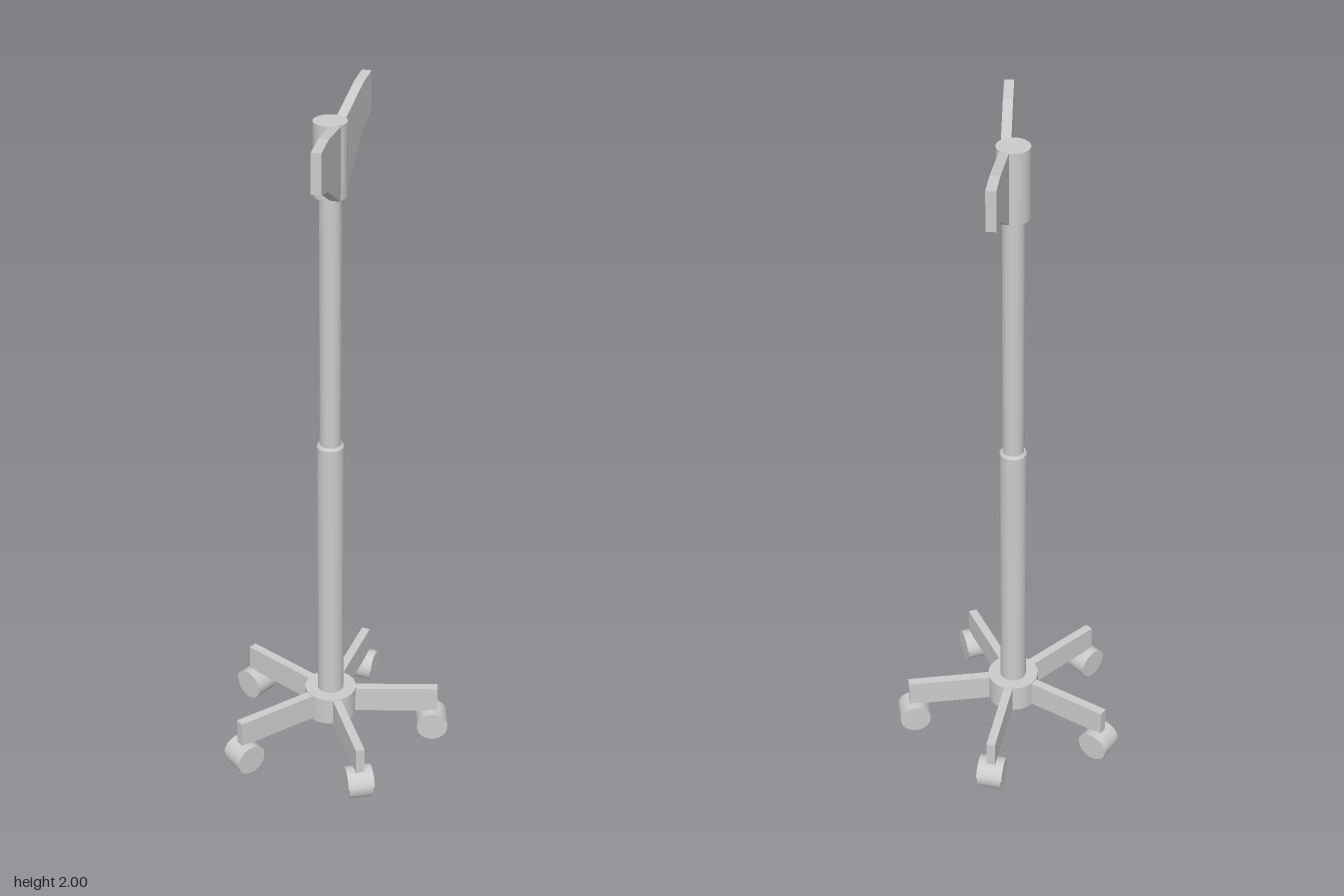
import * as THREE from 'three';

const CZ = 0.02; // depth of the column axis

export function createModel() {
  const model = new THREE.Group();
  const mat = new THREE.MeshStandardMaterial({ color: 0xcccccc });
  const thin = new THREE.MeshStandardMaterial({ color: 0xcccccc, side: THREE.DoubleSide });

  const add = (parent, name, geometry, x, y, z, material = mat) => {
    const mesh = new THREE.Mesh(geometry, material);
    mesh.name = name;
    mesh.position.set(x, y, z);
    parent.add(mesh);
    return mesh;
  };
  // Upright cylinder between two heights
  const post = (name, r, y0, y1, rTop = r) =>
    add(model, name, new THREE.CylinderGeometry(rTop, r, y1 - y0, 24), 0, (y0 + y1) / 2, CZ);

  // Hub and telescopic column
  post('hub', 0.076, 0.086, 0.173);
  post('lowerColumn', 0.039, 0.17, 1.005);
  post('columnCollar', 0.039, 1.005, 1.012, 0.034);
  post('upperColumn', 0.031, 1.01, 1.77);
  post('headSocket', 0.046, 1.76, 1.966);

  // Five spokes, each with a caster under its tip; local +x runs outward
  const legs = [[91, 91], [20.4, 21.5], [-53.5, -58], [-125.2, -122.5], [160, 158.8]];
  for (const [legAngle, casterAngle] of legs) {
    const a = THREE.MathUtils.degToRad(legAngle);
    const leg = new THREE.Group();
    leg.name = 'baseLeg';
    leg.position.z = CZ;
    leg.rotation.y = a;
    model.add(leg);
    add(leg, 'spoke', new THREE.BoxGeometry(0.322, 0.08, 0.026), 0.161, 0.13, 0);

    const caster = new THREE.Group();
    caster.name = 'caster';
    caster.position.set(0.307, 0.046, 0);
    caster.rotation.y = THREE.MathUtils.degToRad(casterAngle - legAngle);
    leg.add(caster);
    add(caster, 'wheel', new THREE.CylinderGeometry(0.046, 0.046, 0.07, 24).rotateX(Math.PI / 2), 0, 0, 0);

    // Thin hood wrapped over the upper part of the wheel
    const hood = new THREE.Shape();
    hood.absarc(0, 0, 0.0475, 0.2, Math.PI - 0.2, false);
    hood.closePath();
    const hoodGeo = new THREE.ExtrudeGeometry(hood, { depth: 0.077, bevelEnabled: false, curveSegments: 12 });
    add(caster, 'wheelHood', hoodGeo.translate(0, 0, -0.0385), 0, 0, 0, thin);
  }

  // Two flat wings rising from the socket; profile is distance out and height
  const wing = (name, dx, dz, profile) => {
    const shape = new THREE.Shape(profile.map(([u, v]) => new THREE.Vector2(u, v)));
    const geo = new THREE.ExtrudeGeometry(shape, { depth: 0.027, bevelEnabled: false });
    add(model, name, geo.translate(0, 0, -0.0135), 0.02, 0, CZ).rotation.y = Math.atan2(-dz, dx);
  };
  wing('frontWing', 0.196, 0.98, [
    [0, 1.76], [0.035, 1.76], [0.22, 1.862], [0.312, 1.89],
    [0.312, 2], [0.2, 1.995], [0.035, 1.964], [0, 1.964],
  ]);
  wing('backWing', -0.11, -0.994, [
    [0, 1.76], [0.045, 1.76], [0.225, 1.868], [0.311, 1.888],
    [0.311, 2], [0.225, 1.997], [0.035, 1.964], [0, 1.964],
  ]);

  return model;
}
